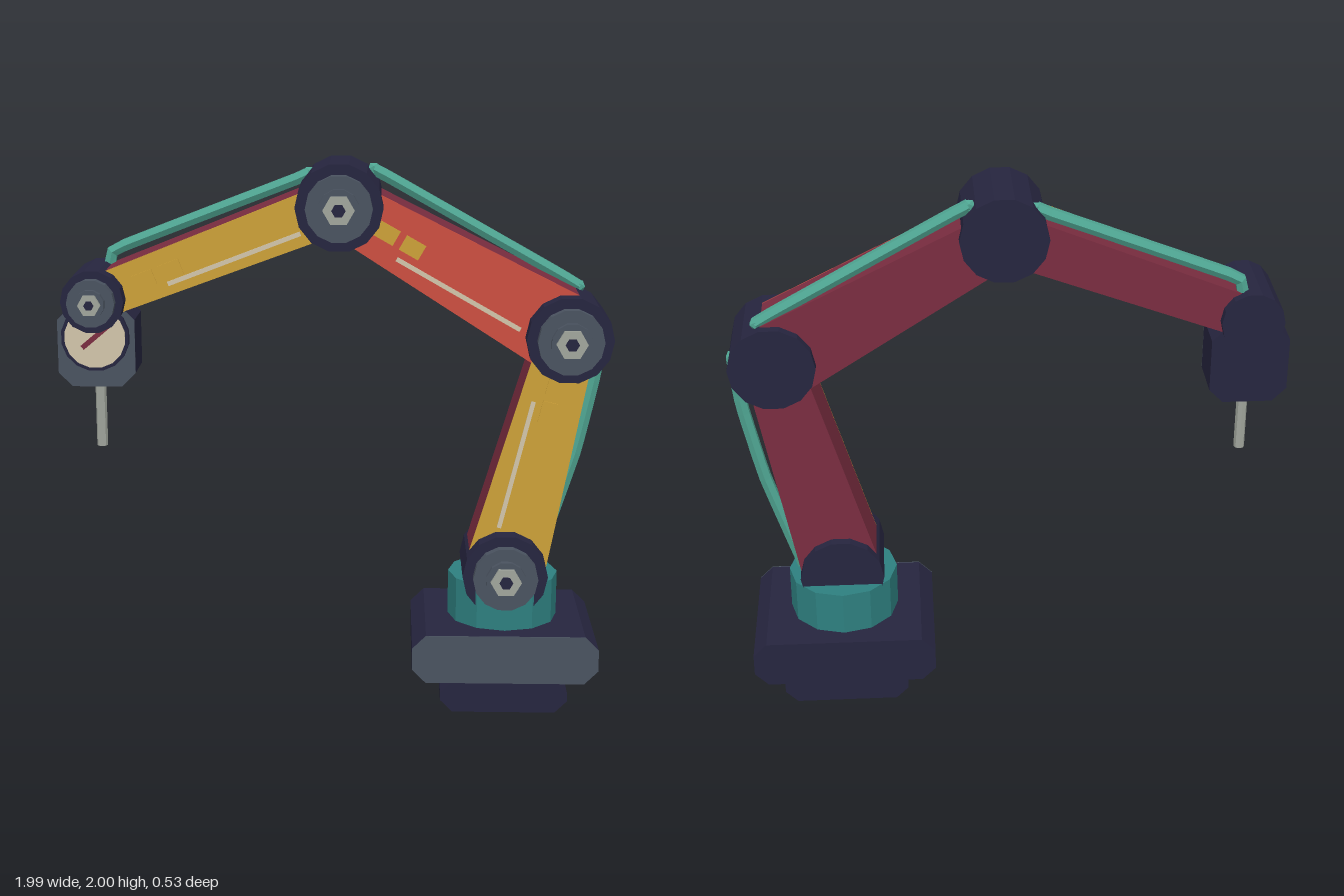
import * as THREE from 'three';

const mat = (name, color, extra = {}) => {
  const m = new THREE.MeshStandardMaterial({ color, flatShading: true, ...extra });
  m.name = name;
  return m;
};

export function createModel() {
  const root = new THREE.Group();
  root.name = 'robotArm';

  const navy = mat('navy', 0x26253f);
  const slate = mat('slate', 0x4a5360);
  const maroon = mat('maroon', 0x7a2d40);
  const yellow = mat('yellow', 0xcca038);
  const red = mat('red', 0xcc4e40);
  const teal = mat('teal', 0x2e8080);
  const hose = mat('hoseGreen', 0x4fa592, { side: THREE.DoubleSide });
  const cream = mat('cream', 0xd2c5aa);
  const steel = mat('steel', 0xa0a59c);

  const add = (name, geometry, material, parent = root) => {
    const mesh = new THREE.Mesh(geometry, material);
    mesh.name = name;
    parent.add(mesh);
    return mesh;
  };

  const polygon = (pts) => new THREE.Shape(pts.map(([x, y]) => new THREE.Vector2(x, y)));

  // Extrude a front outline between two depths
  const slab = (name, shape, z0, z1, material, parent) => add(name,
    new THREE.ExtrudeGeometry(shape, { depth: z1 - z0, bevelEnabled: false }).translate(0, 0, z0), material, parent);

  // Rectangle with cut corners
  const cutRect = (x0, x1, y0, y1, c) => polygon([
    [x0 + c, y0], [x1 - c, y0], [x1, y0 + c], [x1, y1 - c],
    [x1 - c, y1], [x0 + c, y1], [x0, y1 - c], [x0, y0 + c]]);

  // Disc lying along the z axis
  const disc = (name, x, y, r, z0, z1, sides, material, parent) => add(name,
    new THREE.CylinderGeometry(r, r, z1 - z0, sides)
      .rotateX(Math.PI / 2).rotateZ(Math.PI / sides)
      .translate(x, y, (z0 + z1) / 2), material, parent);

  // Base and turret
  const baseX = 0.617;
  slab('foot', cutRect(0.385, 0.85, 0, 0.12, 0.045), -0.2, 0.22, navy);
  const plate = cutRect(0.28, 0.955, 0.13, 0.31, 0.05);
  slab('basePlate', plate, -0.265, 0.262, navy);
  slab('basePlateFront', plate, 0.262, 0.266, slate);
  add('turret', new THREE.CylinderGeometry(0.202, 0.202, 0.165, 12).translate(baseX, 0.3925, 0), teal);

  // Joints: drum, cover, hub, hex bolt and its socket
  const joint = (name, [x, y], r) => {
    const g = new THREE.Group();
    g.name = name;
    root.add(g);
    disc('drum', x, y, r, -0.13, 0.17, 14, navy, g);
    disc('cover', x, y, r * 0.76, 0.17, 0.205, 14, slate, g);
    disc('hub', x, y, r * 0.47, 0.205, 0.225, 12, slate, g);
    disc('bolt', x, y, r * 0.36, 0.225, 0.24, 6, steel, g);
    disc('socket', x, y, r * 0.16, 0.24, 0.243, 6, navy, g);
  };
  const shoulder = [0.617, 0.505], elbow = [0.828, 1.38], crown = [0.012, 1.845], wrist = [-0.86, 1.51];
  joint('shoulderJoint', shoulder, 0.155);
  joint('elbowJoint', elbow, 0.155);
  joint('crownJoint', crown, 0.155);
  joint('wristJoint', wrist, 0.112);

  // Tapered arm links, drawn along +x then turned into place
  const link = (name, a, b, w0, w1, face) => {
    const dx = b[0] - a[0], dy = b[1] - a[1], L = Math.hypot(dx, dy);
    const g = new THREE.Group();
    g.name = name;
    g.position.set(a[0], a[1], 0);
    g.rotation.z = Math.atan2(dy, dx);
    root.add(g);
    const outline = polygon([[0, -w0], [L, -w1], [L, w1], [0, w0]]);
    slab('beam', outline, -0.095, 0.1, maroon, g);
    slab('facePanel', outline, 0.1, 0.104, face, g);
    const py = (w0 + w1) * 0.25;
    add('stripe', new THREE.BoxGeometry(L * 0.54, 0.016, 0.006).translate(L * 0.445, py, 0.106), cream, g);
    for (const t of [0.685, 0.795]) {
      add('marker', new THREE.BoxGeometry(0.078, 0.058, 0.006).translate(L * t, 0, 0.106), yellow, g);
    }
  };
  link('lowerArm', shoulder, elbow, 0.147, 0.1, yellow);
  link('upperArm', elbow, crown, 0.15, 0.1, red);
  link('forearm', crown, wrist, 0.092, 0.078, yellow);

  // Hoses along the back edge, made of straight runs
  const cable = (name, pts) => {
    const path = new THREE.CatmullRomCurve3(
      pts.map(([x, y]) => new THREE.Vector3(x, y, -0.07)), false, 'catmullrom', 0.15);
    add(name, new THREE.TubeGeometry(path, 16, 0.024, 6), hose);
    for (const [x, y] of [pts[0], pts[pts.length - 1]]) {
      add('hoseEnd', new THREE.IcosahedronGeometry(0.024, 0).translate(x, y, -0.07), hose);
    }
  };
  cable('lowerHose', [[0.76, 0.54], [0.88, 0.92], [0.945, 1.22], [0.965, 1.41]]);
  cable('upperHose', [[0.13, 1.955], [0.2, 1.918], [0.8, 1.58], [0.875, 1.535]]);
  cable('forearmHose', [[-0.825, 1.605], [-0.8, 1.665], [-0.13, 1.925], [-0.1, 1.94]]);

  // Tool head with gauge and rod
  const head = cutRect(-1, -0.722, 1.187, 1.48, 0.05);
  slab('toolHead', head, -0.1, 0.081, navy);
  slab('toolHeadFront', head, 0.081, 0.085, slate);
  disc('gaugeRim', -0.862, 1.37, 0.123, 0.085, 0.105, 16, navy);
  disc('gaugeDial', -0.862, 1.37, 0.11, 0.105, 0.111, 16, cream);
  add('gaugeNeedle', new THREE.BoxGeometry(0.15, 0.018, 0.006)
    .rotateZ(0.7).translate(-0.85, 1.383, 0.114), maroon);
  add('toolRod', new THREE.CylinderGeometry(0.02, 0.02, 0.25, 8).translate(-0.862, 1.072, 0), steel);

  return root;
}
